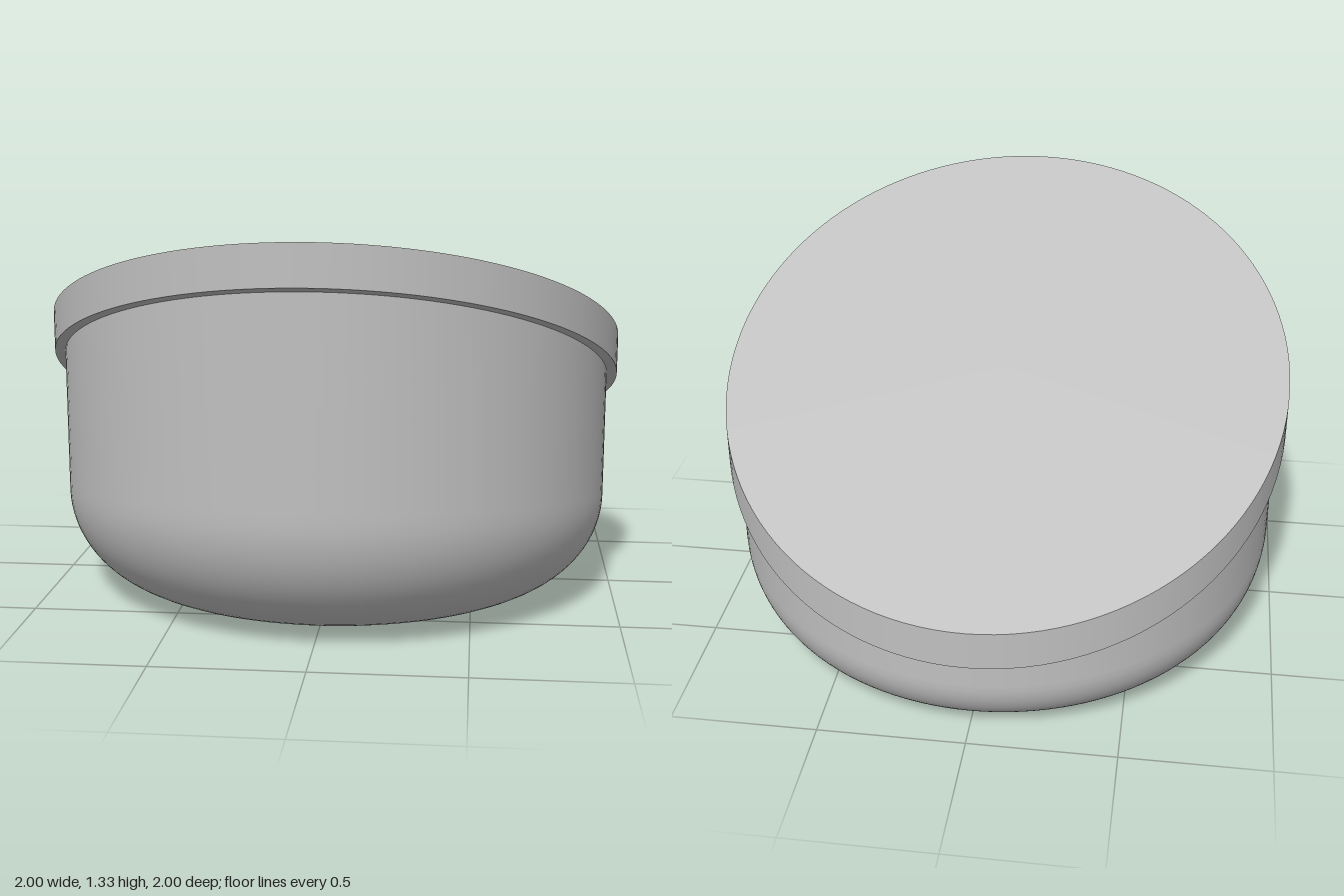
import * as THREE from 'three';
import { mergeVertices } from 'three/addons/utils/BufferGeometryUtils.js';

const SLOPE = 0.44;       // rise of the slanted lid per unit of z
const LID_BOTTOM = 0.75;  // heights at the centre
const LID_TOP = 0.885;
const BODY_RADIUS = 0.965;
const SEGMENTS = 128;
const ARC_STEPS = 20;

// Bowl whose bottom fillet grows from back to front and whose rim follows the slanted lid
function bowlGeometry() {
  // x = radial inset code, y = row code; each row is placed by rule below
  const rows = [[0, 0, 0], [0.97, 0, 0]]; // [flat-floor fraction, arc fraction, wall fraction]
  for (let i = 0; i <= ARC_STEPS; i++) rows.push([1, i / ARC_STEPS, 0]);
  rows.push([1, 1, 0.04], [1, 1, 0.5], [1, 1, 1]);

  const geometry = new THREE.LatheGeometry(rows.map((_, i) => new THREE.Vector2(1, i)), SEGMENTS);
  const pos = geometry.attributes.position;
  for (let i = 0; i < pos.count; i++) {
    const x = pos.getX(i), z = pos.getZ(i);
    const [floor, arc, wall] = rows[Math.round(pos.getY(i))];
    const fillet = 0.335 + 0.13 * z;
    const angle = arc * Math.PI / 2;
    const radius = floor * (BODY_RADIUS - fillet + fillet * Math.sin(angle));
    const filletY = fillet * (1 - Math.cos(angle));
    const rimY = LID_BOTTOM + SLOPE * z * BODY_RADIUS;
    pos.setXYZ(i, x * radius, filletY + (rimY - filletY) * wall, z * radius);
  }
  // weld the seam so the shading stays smooth all round
  geometry.deleteAttribute('uv');
  geometry.deleteAttribute('normal');
  const welded = mergeVertices(geometry, 1e-5);
  welded.computeVertexNormals();
  return welded;
}

// Round lid sheared so its sides stay vertical while both faces slope
function lidGeometry() {
  const geometry = new THREE.CylinderGeometry(1, 1, LID_TOP - LID_BOTTOM, SEGMENTS);
  geometry.translate(0, (LID_TOP + LID_BOTTOM) / 2, 0);
  geometry.applyMatrix4(new THREE.Matrix4().set(
    1, 0, 0, 0,
    0, 1, SLOPE, 0,
    0, 0, 1, 0,
    0, 0, 0, 1
  ));
  return geometry;
}

export function createModel() {
  const grey = new THREE.MeshStandardMaterial({ color: 0xc0c0c0 });
  grey.name = 'light grey';

  const model = new THREE.Group();
  model.name = 'slantedBowl';
  const parts = { bowlBody: bowlGeometry(), slantedLid: lidGeometry() };
  for (const [name, geometry] of Object.entries(parts)) {
    const mesh = new THREE.Mesh(geometry, grey);
    mesh.name = name;
    model.add(mesh);
  }
  return model;
}
